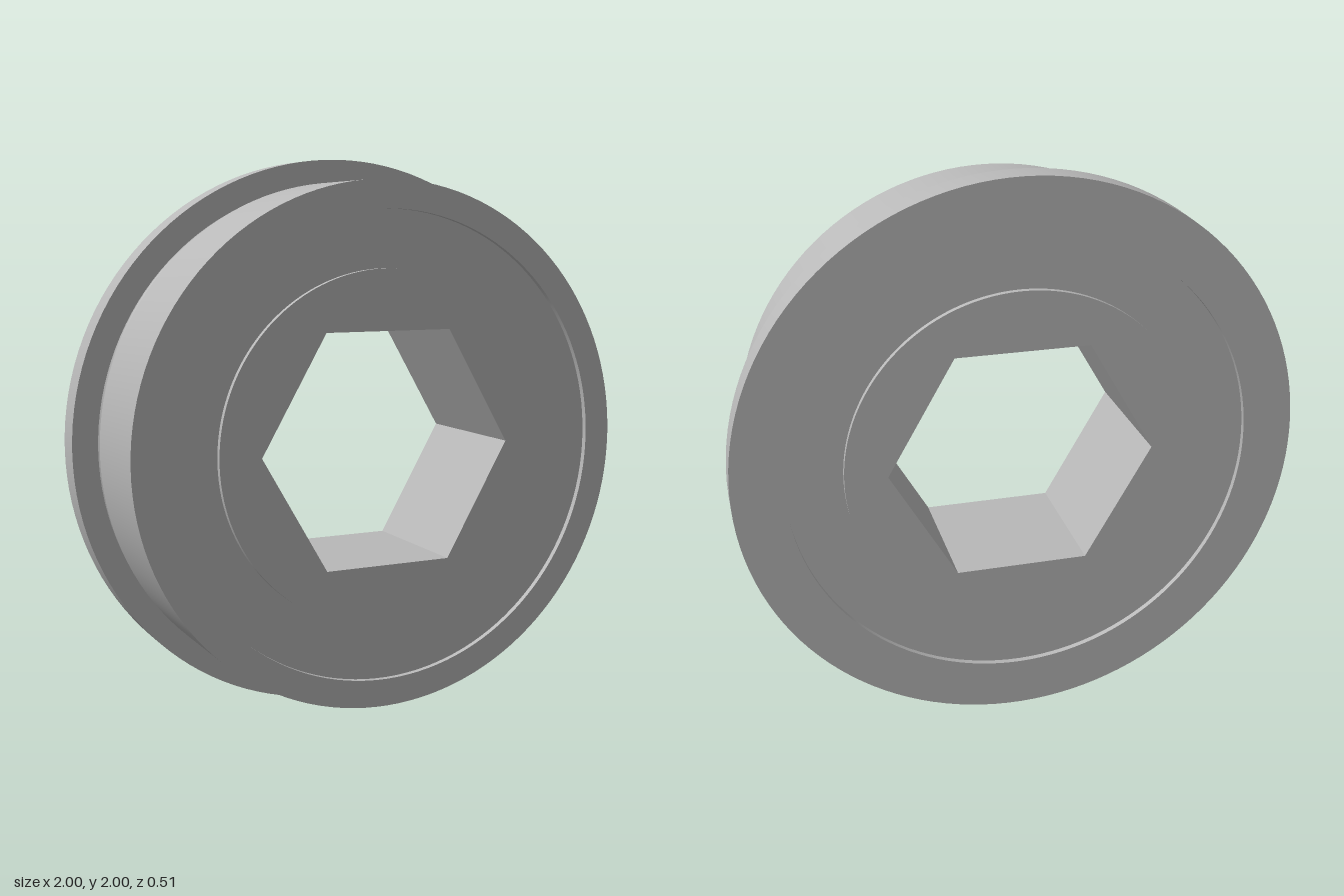
import * as THREE from 'three';
import { toCreasedNormals } from 'three/addons/utils/BufferGeometryUtils.js';

const SEGMENTS = 128;
const HALF = 0.255; // half of the overall depth
const steel = new THREE.MeshStandardMaterial({ color: 0xb8b8b8 });
steel.name = 'steel grey';

function part(name, geometry) {
  const mesh = new THREE.Mesh(toCreasedNormals(geometry, 0.6), steel);
  mesh.name = name;
  return mesh;
}

// Revolves a closed [radius, z] profile about the z axis
function ring(name, profile) {
  const points = [...profile, profile[0]].map(([r, z]) => new THREE.Vector2(r, z));
  return part(name, new THREE.LatheGeometry(points, SEGMENTS).rotateX(Math.PI / 2));
}

export function createModel() {
  const model = new THREE.Group();
  model.name = 'flangedHexBearing';
  const bearing = new THREE.Group();
  bearing.name = 'bearing';
  bearing.position.y = 1;
  model.add(bearing);

  // Outer ring with rear flange and a rounded relief groove beside it
  bearing.add(ring('flangedOuterRing', [
    [0.82, -HALF], [1, -HALF], [1, -0.153],
    [0.91, -0.153], [0.903, -0.148], [0.899, -0.14], [0.899, -0.13], [0.903, -0.12],
    [0.918, -0.103], [0.918, HALF], [0.82, HALF],
  ]));

  // Shields, slightly recessed on both sides
  const recess = HALF - 0.02;
  bearing.add(ring('shields', [
    [0.61, -recess], [0.83, -recess], [0.83, recess], [0.61, recess],
  ]));

  // Inner ring with hexagonal bore
  const shape = new THREE.Shape();
  shape.absarc(0, 0, 0.62, 0, Math.PI * 2, false);
  const hex = [];
  for (let i = 0; i < 6; i++) {
    const a = (i * Math.PI) / 3;
    hex.push(new THREE.Vector2(0.471 * Math.cos(a), 0.471 * Math.sin(a)));
  }
  shape.holes.push(new THREE.Path(hex).closePath());
  const inner = new THREE.ExtrudeGeometry(shape, {
    depth: HALF * 2, bevelEnabled: false, curveSegments: SEGMENTS,
  }).translate(0, 0, -HALF);
  bearing.add(part('hexInnerRing', inner));

  return model;
}
